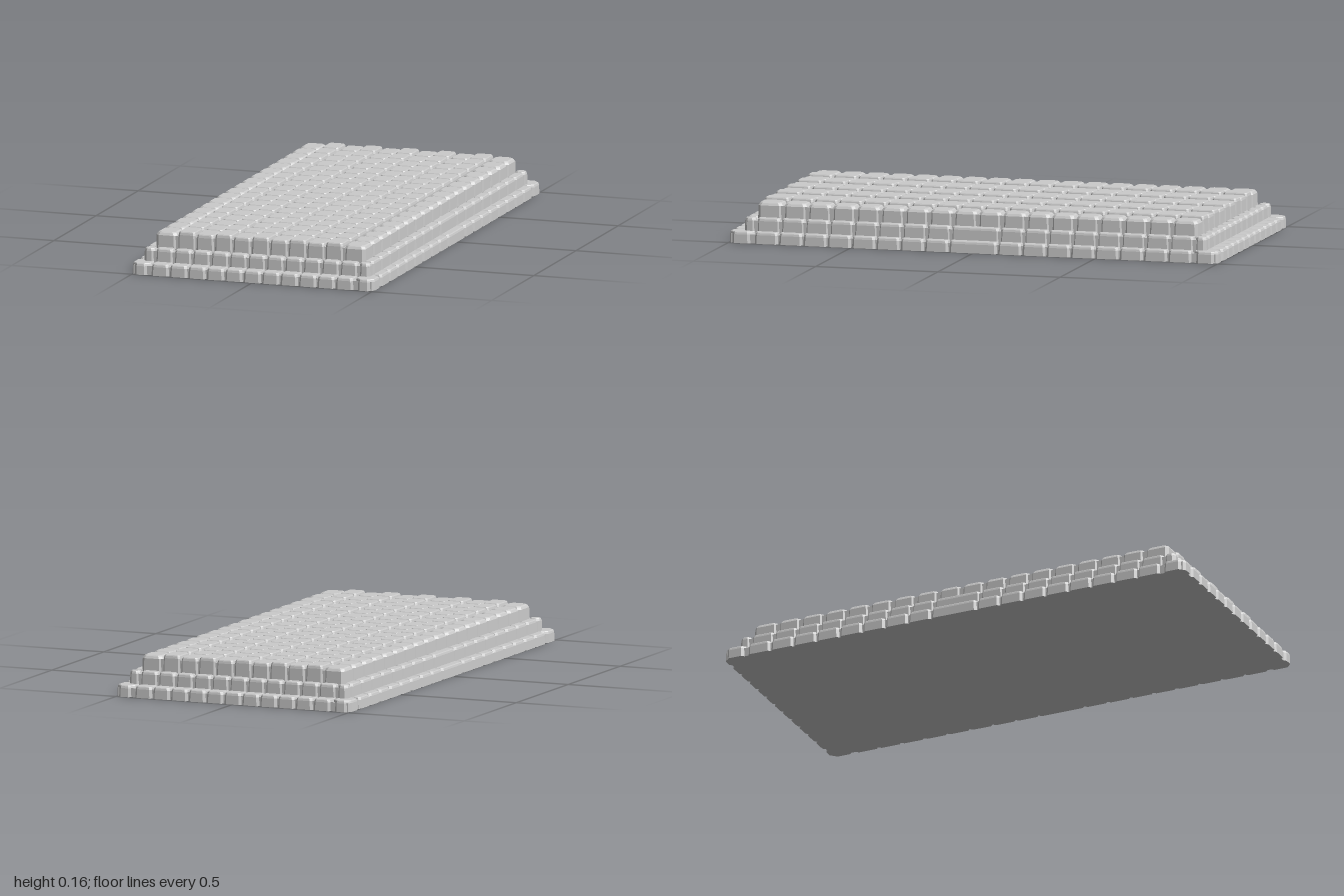
import * as THREE from 'three';
import { mergeGeometries } from 'three/addons/utils/BufferGeometryUtils.js';

const GAP = 0.002;

// Stone block from stacked eight-sided sections: straight sides, bevelled top.
function block([x0, x1], [z0, z1], y0, y1, corner = 0.008, bevel = 0.006, drop = 0.011) {
  const cx = (x0 + x1) / 2, cz = (z0 + z1) / 2;
  const w = (x1 - x0) / 2 - GAP, d = (z1 - z0) / 2 - GAP;
  const pos = [], idx = [];
  const sections = [[y0, 0], [y1 - drop, 0.0015], [y1 - drop * 0.3, bevel * 0.6], [y1, bevel]];
  for (const [y, inset] of sections) {
    const a = w - inset, b = d - inset, c = Math.min(corner, a * 0.6, b * 0.6);
    const ring = [[a, b - c], [a, c - b], [a - c, -b], [c - a, -b], [-a, c - b], [-a, b - c], [c - a, b], [a - c, b]];
    for (const [x, z] of ring) pos.push(cx + x, y, cz + z);
  }
  const last = (sections.length - 1) * 8;
  for (let s = 0; s < last; s += 8) {
    for (let i = 0; i < 8; i++) {
      const j = (i + 1) % 8;
      idx.push(s + i, s + j, s + 8 + j, s + i, s + 8 + j, s + 8 + i);
    }
  }
  for (let i = 1; i < 7; i++) idx.push(last, last + i, last + i + 1, 0, i + 1, i);
  const geo = new THREE.BufferGeometry();
  geo.setAttribute('position', new THREE.Float32BufferAttribute(pos, 3));
  geo.setIndex(idx);
  const flat = geo.toNonIndexed();
  flat.computeVertexNormals();
  return flat;
}

// Consecutive intervals, mirrored about zero, from positive joint positions.
function spans(joints, withZero) {
  const all = [...joints.map(v => -v).reverse(), ...(withZero ? [0] : []), ...joints];
  return all.slice(1).map((v, i) => [all[i], v]);
}

const COL = i => 0.0385 + 0.0768 * i;   // column joints
const ROW = i => 0.0995 * i;            // row joints
const range = (a, b, f) => Array.from({ length: b - a + 1 }, (_, i) => f(a + i));

export function createModel() {
  const group = new THREE.Group();
  const stone = new THREE.MeshStandardMaterial({ color: 0xcccccc, flatShading: true });
  const add = (name, geos) => {
    const mesh = new THREE.Mesh(mergeGeometries(geos), stone);
    mesh.name = name;
    group.add(mesh);
  };

  // Two stepped borders: only the outermost ring of blocks shows
  const border = (name, halfX, halfZ, y0, y1, cornerCut) => {
    const cols = spans([...range(0, 5, COL), halfX], false);
    const rows = spans([...range(1, 9, ROW), halfZ], false);
    const geos = [];
    cols.forEach((cx, i) => rows.forEach((rz, j) => {
      const edgeX = i === 0 || i === cols.length - 1;
      const edgeZ = j === 0 || j === rows.length - 1;
      if (edgeX || edgeZ) geos.push(block(cx, rz, y0, y1, edgeX && edgeZ ? cornerCut : 0.009));
    }));
    add(name, geos);
  };
  border('bottomStepBlocks', 0.507, 1.002, 0, 0.046, 0.024);
  border('middleStepBlocks', 0.473, 0.947, 0.04, 0.097, 0.012);

  // Top paving: alternate columns stand slightly higher
  const cols = spans([...range(0, 4, COL), 0.439], false);
  const rows = spans([...range(1, 8, ROW), 0.902], true);
  const paving = [];
  cols.forEach((cx, i) => rows.forEach(rz => {
    const outer = i === 0 || i === cols.length - 1;
    const y = i % 2 ? 0.162 : 0.156;
    paving.push(block(cx, rz, 0.09, y, outer ? 0.012 : 0.007, outer ? 0.011 : 0.006, 0.013));
  }));
  add('topPavingBlocks', paving);

  // Solid fill behind the joints
  const fill = (w, y0, y1, d) => new THREE.BoxGeometry(w, y1 - y0, d).translate(0, (y0 + y1) / 2, 0);
  add('core', [
    fill(0.99, 0, 0.036, 1.98),
    fill(0.93, 0.03, 0.086, 1.875),
    fill(0.86, 0.08, 0.143, 1.785),
  ]);
  return group;
}
